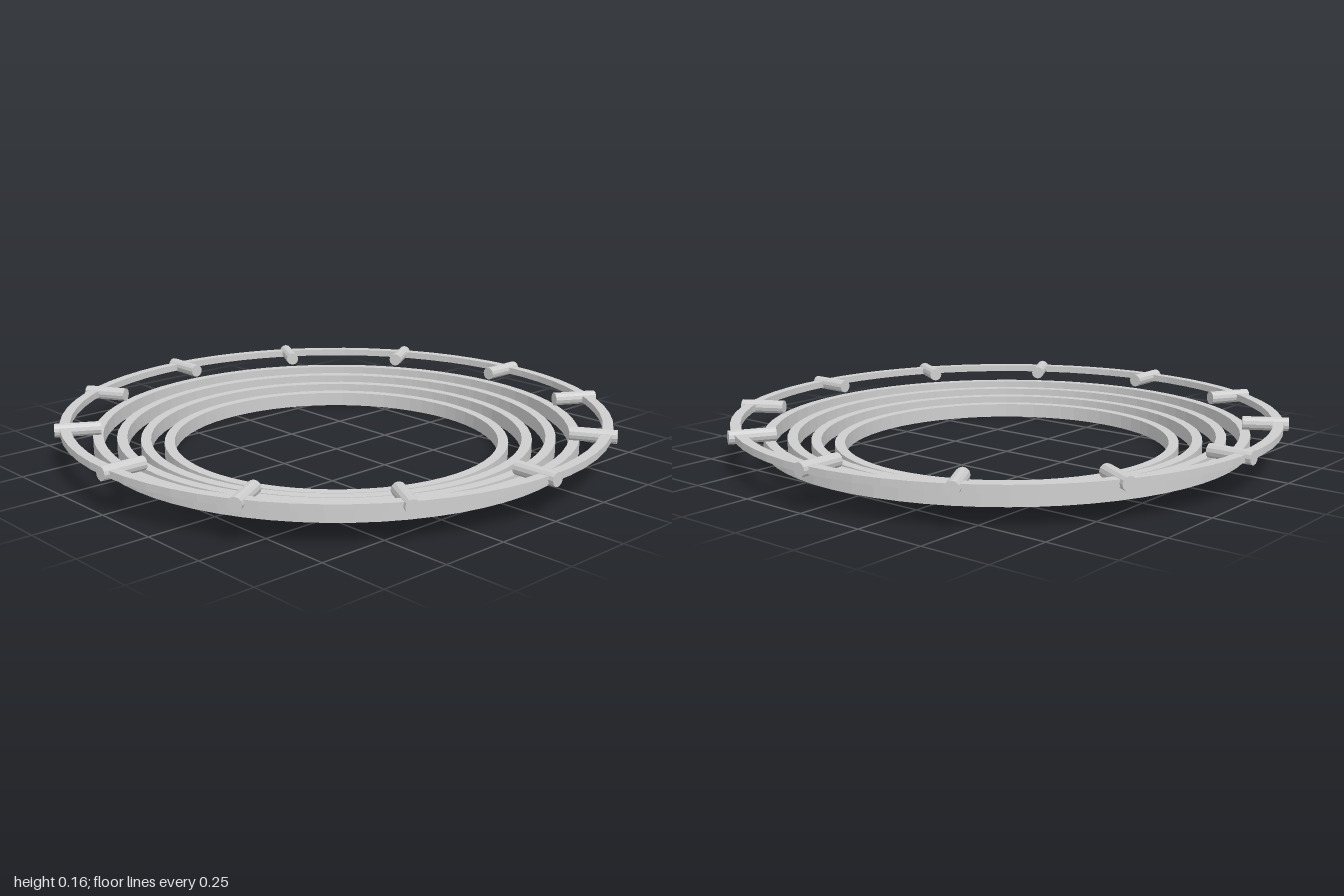
import * as THREE from 'three';

export function createModel() {
  const model = new THREE.Group();
  const steel = new THREE.MeshStandardMaterial({
    color: 0xcecece, flatShading: true, side: THREE.DoubleSide,
  });
  steel.name = 'steel grey';

  // Channel-shaped band, open underneath, turned around the y axis
  const addRing = (name, inner, outer, bottom, top) => {
    const profile = [
      [outer, bottom], [outer, top], [inner, top], [inner, bottom],
    ].map(([r, y]) => new THREE.Vector2(r, y));
    const ring = new THREE.Mesh(new THREE.LatheGeometry(profile, 64), steel);
    ring.name = name;
    model.add(ring);
  };

  // Four nested rings, stepping up and outwards
  for (let i = 0; i < 4; i++) {
    const outer = 0.621 + i * 0.083;
    const bottom = i * 0.0158;
    addRing('steppedRing' + (i + 1), outer - 0.036, outer, bottom, bottom + 0.052);
  }

  // Thin outer ring that carries the pegs
  addRing('outerRing', 0.946, 0.982, 0.123, 0.148);

  // Twelve radial pegs
  const pegGeometry = new THREE.CylinderGeometry(0.0245, 0.0245, 0.16, 12);
  pegGeometry.rotateZ(Math.PI / 2).translate(0.92, 0.137, 0);
  for (let i = 0; i < 12; i++) {
    const peg = new THREE.Mesh(pegGeometry, steel);
    peg.name = 'peg' + (i + 1);
    peg.rotation.y = (i * Math.PI) / 6;
    model.add(peg);
  }

  return model;
}
